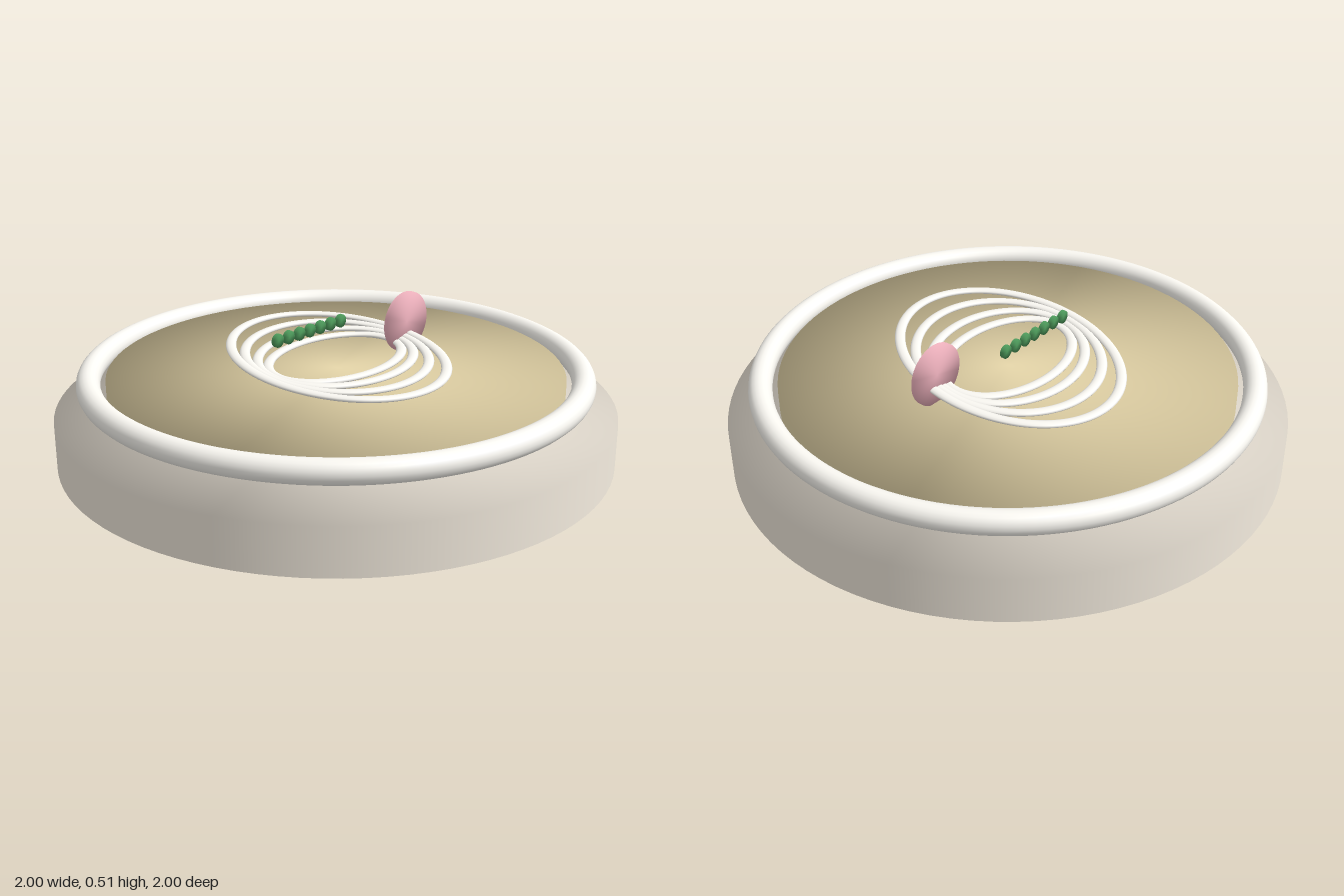
import * as THREE from 'three';

const paint = (color) => new THREE.MeshStandardMaterial({ color });

// Solid disc whose shading runs smoothly from the cap centres over the edge
function softDisc(radius, height, segments) {
  const geometry = new THREE.CylinderGeometry(radius, radius, height, segments);
  const { position, normal } = geometry.attributes;
  for (let i = 0; i < position.count; i++) {
    const x = position.getX(i), z = position.getZ(i), r = Math.hypot(x, z);
    if (r > 1e-6) normal.setXYZ(i, x / r, 0, z / r);
  }
  return geometry;
}

export function createModel() {
  const model = new THREE.Group();
  const stone = paint(0xf5ede0), sandColor = paint(0xe8d8ab), white = paint(0xfaf8f2);
  const pink = paint(0xf4b6c2), green = paint(0x4f9d5d);

  const add = (name, geometry, material, x = 0, y = 0, z = 0, parent = model) => {
    const mesh = new THREE.Mesh(geometry, material);
    mesh.name = name;
    mesh.position.set(x, y, z);
    parent.add(mesh);
  };

  // Base disc, with the sand bed floating just above it
  add('base', softDisc(1, 0.17, 96), stone, 0, 0.085);
  add('sandBed', softDisc(0.815, 0.08, 96), sandColor, 0, 0.255);

  // Round rim around the sand
  const rim = new THREE.TorusGeometry(0.875, 0.042, 20, 128).rotateX(Math.PI / 2);
  add('rim', rim, white, 0, 0.286);

  // Nested flattened ellipses, leaning more and rising slightly outward
  const rings = new THREE.Group();
  rings.name = 'rings';
  model.add(rings);
  const sizes = [[0.288, 0.2], [0.315, 0.275], [0.337, 0.374], [0.364, 0.477]];
  sizes.forEach(([w, h], i) => {
    const phase = 0.07 + 0.045 * i;
    const points = [];
    for (let k = 0; k < 48; k++) {
      const t = (k / 48) * Math.PI * 2;
      points.push(new THREE.Vector3(w * Math.cos(t), 0, -h * Math.sin(t + phase)));
    }
    const curve = new THREE.CatmullRomCurve3(points, true);
    const tube = new THREE.TubeGeometry(curve, 128, 0.019, 12, true).scale(1, 0.5, 1);
    add('ring' + (i + 1), tube, white, 0, 0.335 + 0.0055 * i, 0, rings);
  });

  // Upright thin disc standing on the sand
  add('standingDisc', softDisc(0.113, 0.013, 48).rotateX(Math.PI / 2), pink, 0.332, 0.401, 0.04);

  // Row of small upright discs
  const beads = new THREE.Group();
  beads.name = 'beadRow';
  model.add(beads);
  const bead = softDisc(0.0245, 0.012, 24).rotateX(Math.PI / 2);
  for (let i = 0; i < 7; i++) add('bead' + (i + 1), bead, green, -0.212 + 0.0525 * i, 0.43, -0.077, beads);

  return model;
}
